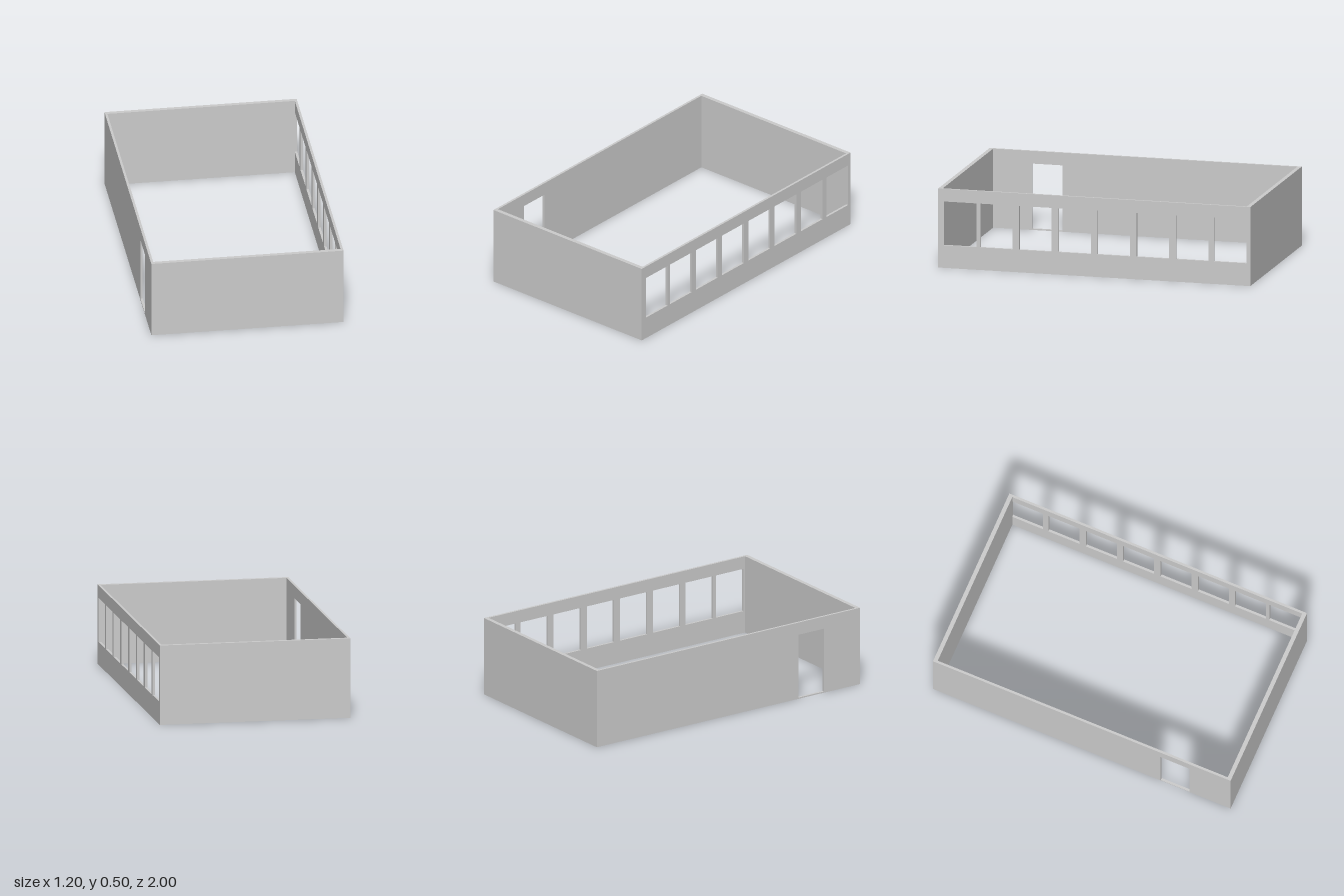
import * as THREE from 'three';

const W = 0.6, L = 1, H = 0.5;   // half width, half length, height
const SIDE = 0.015, END = 0.026; // wall thicknesses

export function createModel() {
  const group = new THREE.Group();
  const material = new THREE.MeshStandardMaterial({ color: 0xcccccc });

  const rect = (path, x0, x1, y0, y1) => {
    path.moveTo(x0, y0);
    path.lineTo(x1, y0);
    path.lineTo(x1, y1);
    path.lineTo(x0, y1);
    path.closePath();
    return path;
  };

  const add = (name, geometry, x, z) => {
    const mesh = new THREE.Mesh(geometry, material);
    mesh.name = name;
    mesh.position.set(x, 0, z);
    group.add(mesh);
  };

  // Long wall along z with rectangular openings [z0, z1, y0, y1]
  const sideWall = (name, outerX, openings) => {
    const shape = rect(new THREE.Shape(), -L, L, 0, H);
    for (const o of openings) shape.holes.push(rect(new THREE.Path(), ...o));
    const geometry = new THREE.ExtrudeGeometry(shape, { depth: SIDE, bevelEnabled: false });
    geometry.rotateY(-Math.PI / 2);
    add(name, geometry, outerX, 0);
  };

  // Window wall: eight equal windows
  const centres = [0.857, 0.626, 0.377, 0.126, -0.125, -0.376, -0.627, -0.871];
  sideWall('windowWall', W, centres.map((z) => [z - 0.104, z + 0.104, 0.143, 0.42]));

  // Door wall: one doorway above a thin sill
  sideWall('doorWall', -W + SIDE, [[0.53, 0.725, 0.008, 0.42]]);

  // Plain end walls fitted between the long walls
  for (const [name, s] of [['frontWall', 1], ['backWall', -1]]) {
    const geometry = new THREE.BoxGeometry(2 * (W - SIDE), H, END);
    geometry.translate(0, H / 2, 0);
    add(name, geometry, 0, s * (L - END / 2));
  }
  return group;
}
